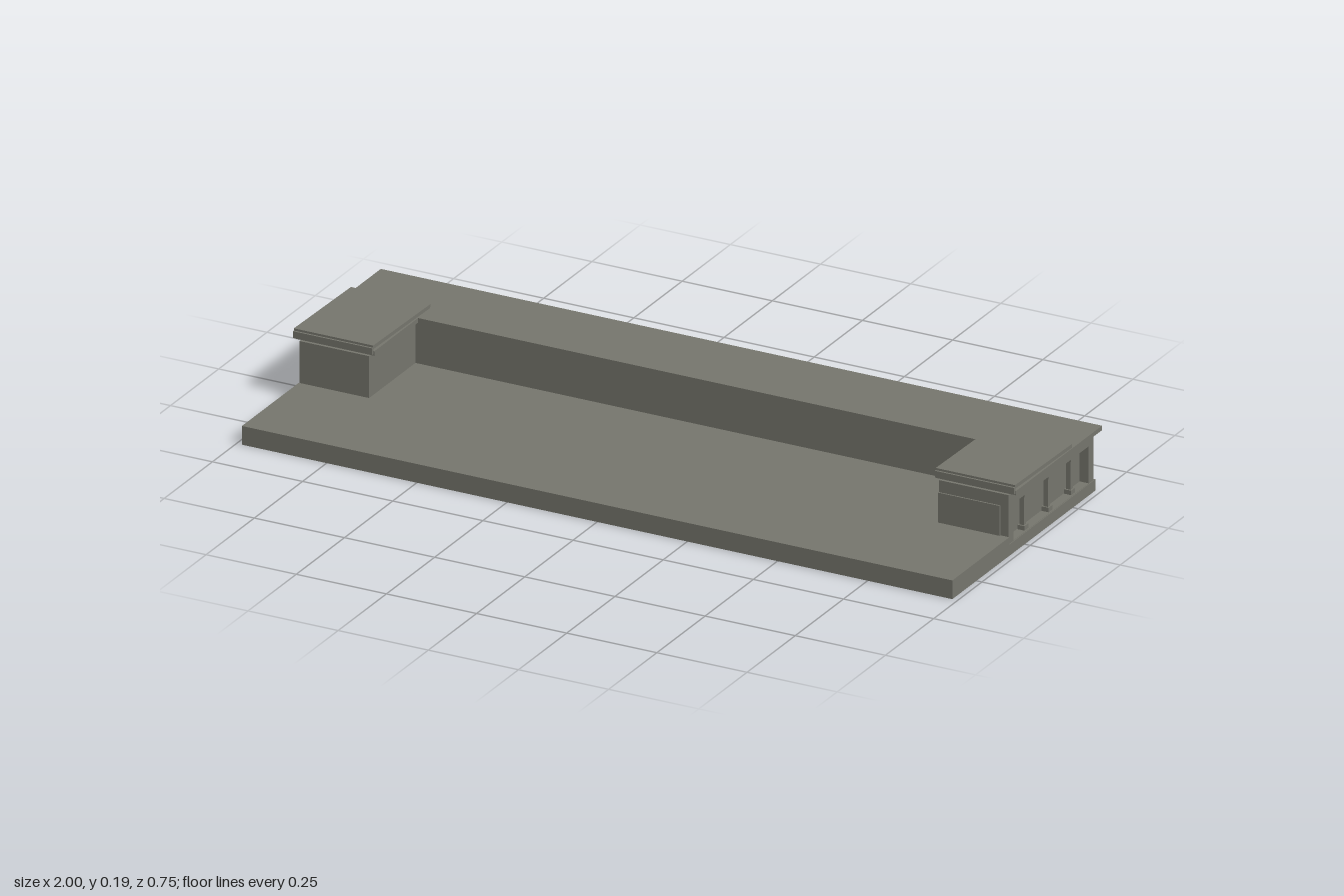
import * as THREE from 'three';

export function createModel() {
  const model = new THREE.Group();
  const stone = new THREE.MeshStandardMaterial({ color: 0x77776e });
  stone.name = 'grey stone';

  // Box given by its min and max corners
  function block(name, x0, x1, y0, y1, z0, z1, parent = model) {
    const mesh = new THREE.Mesh(new THREE.BoxGeometry(x1 - x0, y1 - y0, z1 - z0), stone);
    mesh.position.set((x0 + x1) / 2, (y0 + y1) / 2, (z0 + z1) / 2);
    mesh.name = name;
    parent.add(mesh);
    return mesh;
  }

  // Wall with one long opening, lying from a0 to a1, facing +z, outer face at z = 0
  const depth = 0.025;
  function colonnade(name, a0, a1, h0, h1, columns) {
    const group = new THREE.Group();
    group.name = name;
    const shape = new THREE.Shape([[a0, 0.03], [a1, 0.03], [a1, 0.162], [a0, 0.162]]
      .map(p => new THREE.Vector2(...p)));
    shape.holes.push(new THREE.Path([[h0, 0.031], [h0, 0.13], [h1, 0.13], [h1, 0.031]]
      .map(p => new THREE.Vector2(...p))));
    const geo = new THREE.ExtrudeGeometry(shape, { depth, bevelEnabled: false });
    geo.translate(0, 0, -depth);
    const wall = new THREE.Mesh(geo, stone);
    wall.name = 'wallFrame';
    group.add(wall);
    for (const a of columns) {
      block('columnShaft', a - 0.006, a + 0.006, 0.042, 0.12, -0.02, -0.008, group);
      block('columnBase', a - 0.01, a + 0.01, 0.03, 0.043, -0.024, -0.004, group);
      block('columnCapital', a - 0.01, a + 0.01, 0.119, 0.13, -0.024, -0.004, group);
    }
    model.add(group);
    return group;
  }

  // Plinth and raised forecourt
  block('plinth', -0.985, 0.985, 0, 0.03, -0.367, 0.08);
  block('terrace', -0.985, 0.985, 0, 0.05, 0.08, 0.375);
  block('courtyardFloor', -0.79, 0.79, 0.03, 0.05, -0.16, 0.08);

  // Long rear hall
  block('rearHall', -0.958, 0.958, 0.03, 0.162, -0.335, -0.16);
  block('rearRoof', -1, 1, 0.162, 0.174, -0.373, -0.155);
  const rearColumns = Array.from({ length: 15 }, (_, i) => (i - 7) * 0.12);
  const rear = colonnade('rearColonnade', -0.983, 0.983, -0.96, 0.96, rearColumns);
  rear.rotation.y = Math.PI;
  rear.position.z = -0.36;

  // Side wings, mirrored
  for (const s of [1, -1]) {
    const span = (a, b) => (s > 0 ? [a, b] : [-b, -a]);
    block('wingCore', ...span(0.79, 0.958), 0.03, 0.162, -0.335, 0.08);
    block('wingRoof', ...span(0.78, 1), 0.162, 0.174, -0.156, 0.072);
    block('roofFascia', ...span(0.78, 1), 0.168, 0.186, 0.076, 0.083);
    block('roofCurb', ...span(0.8, 0.98), 0.17, 0.178, 0.06, 0.078);

    // Gently sloping upper roof panel
    const panel = block('upperRoof', ...span(0.78, 1), 0.179, 0.189, -0.218, 0.078);
    panel.rotation.x = -0.018;

    // Outer side colonnade
    const dir = -s; // local x runs along -z on the +x side
    const range = (a, b) => [Math.min(dir * a, dir * b), Math.max(dir * a, dir * b)];
    const side = colonnade('sideColonnade', ...range(-0.36, 0.08), ...range(-0.335, 0.055),
      [-0.02, -0.145, -0.262].map(z => dir * z));
    side.rotation.y = s * Math.PI / 2;
    side.position.x = s * 0.983;
  }

  // Shallow panel on the front of the left wing
  block('frontPanel', 0.79, 0.96, 0.05, 0.13, 0.079, 0.084);

  return model;
}
